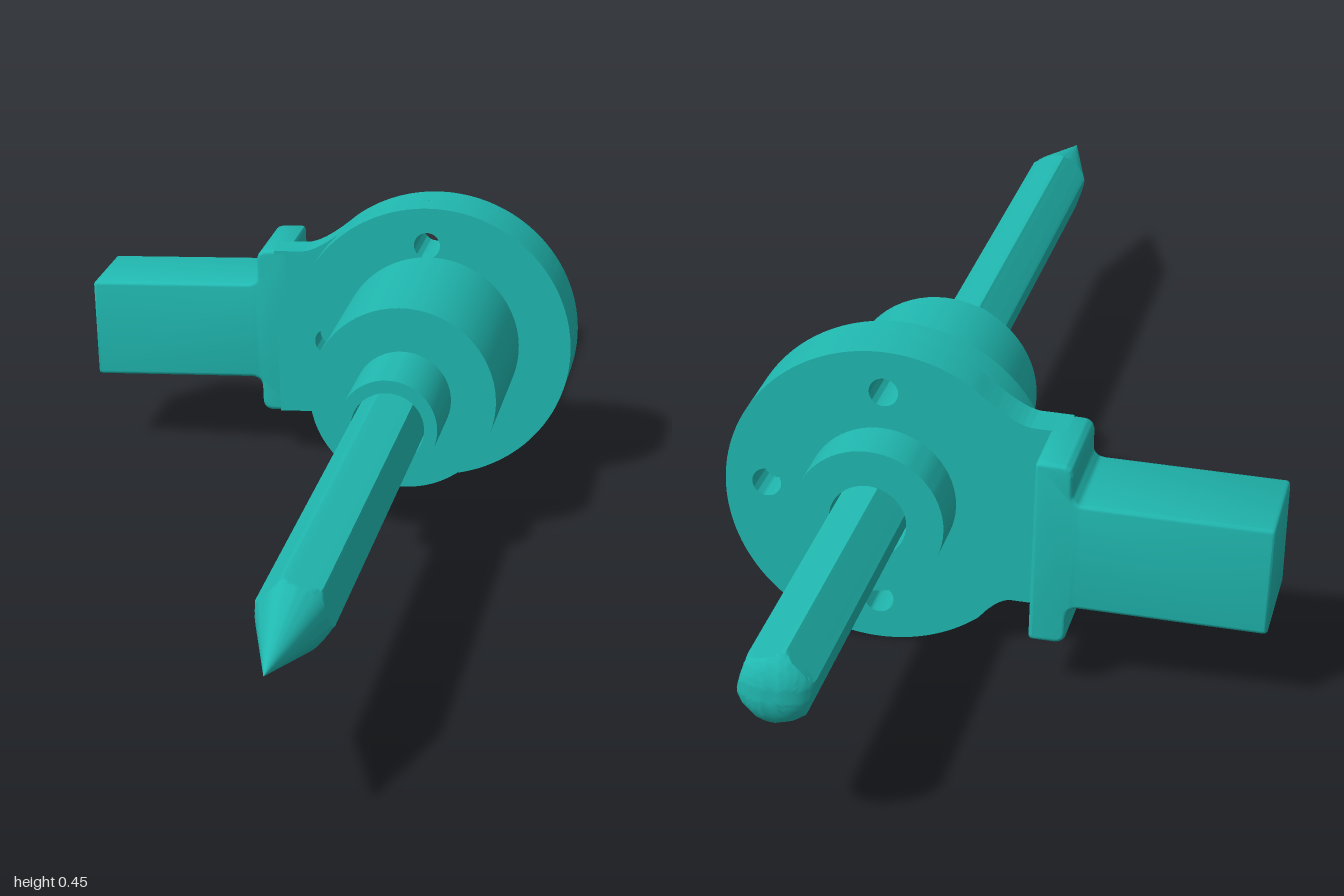
import * as THREE from 'three';
import { toCreasedNormals } from 'three/addons/utils/BufferGeometryUtils.js';

const rad = THREE.MathUtils.degToRad;
const RX = 0.2272, RY = 0.2243; // flange radii
const BORE = 0.0553;

export function createModel() {
  const group = new THREE.Group();
  const material = new THREE.MeshStandardMaterial({ color: 0x20b8b0 });

  // everything is laid out around the rod axis, then turned slightly
  const assembly = new THREE.Group();
  assembly.name = 'assembly';
  assembly.position.set(0.17, 0.2243, 0);
  assembly.rotation.z = rad(2.5);
  group.add(assembly);

  const add = (name, geometry, crease = 0.5) => {
    const mesh = new THREE.Mesh(toCreasedNormals(geometry, crease), material);
    mesh.name = name;
    assembly.add(mesh);
  };

  // extrude a shape between two z positions
  const slab = (shape, z0, z1, bevel = 0) =>
    new THREE.ExtrudeGeometry(shape, {
      depth: z1 - z0 - 2 * bevel, curveSegments: 48,
      bevelEnabled: bevel > 0, bevelThickness: bevel, bevelSize: bevel,
      bevelOffset: -bevel, bevelSegments: 3,
    }).translate(0, 0, z0 + bevel);

  // revolve [radius, z] points around the z axis
  const turned = (points, segments) =>
    new THREE.LatheGeometry(points.map(([r, z]) => new THREE.Vector2(r, z)), segments).rotateX(Math.PI / 2);

  const hole = (x, y, r) => new THREE.Path().absarc(x, y, r, 0, Math.PI * 2, true);

  // stepped sleeve with a through bore
  add('sleeve', turned([
    [BORE, -0.515], [0.108, -0.515], [0.108, -0.4], [0.144, -0.36], [0.144, -0.055],
    [0.075, -0.055], [0.075, 0.085], [BORE, 0.085], [BORE, -0.515],
  ], 64));

  // front flange disc, with pin holes at top, bottom and lever side
  const disc = new THREE.Shape().absellipse(0, 0, RX, RY, 0, Math.PI * 2);
  disc.holes.push(hole(0, 0, 0.09), hole(0, 0.163, 0.021), hole(0, -0.163, 0.021), hole(-0.167, 0, 0.021));
  add('flange', slab(disc, -0.38, -0.332));

  // lever plate behind the disc, its round end blending into the lever
  const plate = new THREE.Shape();
  plate.moveTo(-0.26, -0.137);
  plate.lineTo(-0.19, -0.137);
  plate.quadraticCurveTo(-0.17, -0.14, RX * Math.cos(rad(230)), RY * Math.sin(rad(230)));
  plate.absellipse(0, 0, RX, RY, rad(230), rad(485));
  plate.quadraticCurveTo(-0.187, 0.137, -0.215, 0.137);
  plate.lineTo(-0.26, 0.137);
  plate.closePath();
  plate.holes.push(hole(0, 0, 0.09), hole(0, 0.163, 0.021), hole(0, -0.163, 0.021), hole(0.167, 0, 0.021));
  add('leverPlate', slab(plate, -0.438, -0.38));

  // lever: tall shoulder and narrower handle, with rounded corners
  const half = [[-0.568, 0.08], [-0.29, 0.08], [-0.29, 0.137], [-0.237, 0.137]];
  const outline = [...half, ...half.map(([x, y]) => [x, -y]).reverse()].map((p) => new THREE.Vector2(...p));
  const lever = new THREE.Shape();
  outline.forEach((p, i) => {
    const previous = outline[(i + outline.length - 1) % outline.length];
    const next = outline[(i + 1) % outline.length];
    const r = i === 1 || i === 6 || i === 2 || i === 5 ? 0.018 : 0.007;
    const a = previous.clone().sub(p).setLength(r).add(p);
    const b = next.clone().sub(p).setLength(r).add(p);
    if (i === 0) lever.moveTo(a.x, a.y);
    else lever.lineTo(a.x, a.y);
    lever.quadraticCurveTo(p.x, p.y, b.x, b.y);
  });
  lever.closePath();
  const leverGeometry = new THREE.ExtrudeGeometry(lever, {
    depth: 0.148, curveSegments: 6, bevelThickness: 0.006, bevelSize: 0.006, bevelOffset: -0.006, bevelSegments: 3,
  }).translate(0, 0, -0.534);
  add('lever', leverGeometry, 0.7);

  // hexagonal rod: a turned profile (domed back, pointed front) cut to a hexagon
  const R = 0.0538, profile = [];
  for (let i = 0; i <= 10; i++) {
    const a = (i / 10) * Math.PI / 2;
    profile.push([R * Math.sin(a), -0.965 - 0.035 * Math.cos(a)]);
  }
  for (let i = 0; i <= 8; i++) profile.push([R * (1 - i * 0.0175), 0.8 + i * 0.0035]);
  profile.push([0, 1]);
  const rod = turned(profile, 48);
  const position = rod.attributes.position;
  for (let i = 0; i < position.count; i++) {
    const x = position.getX(i), y = position.getY(i), r = Math.hypot(x, y);
    if (r < 1e-6) continue;
    const sector = Math.PI / 3;
    const angle = ((Math.atan2(y, x) + 2 * Math.PI + 1e-6) % sector) - sector / 2;
    const k = Math.min(1, R * Math.cos(sector / 2) / Math.cos(angle) / r);
    position.setXY(i, x * k, y * k);
  }
  add('rod', rod.rotateZ(rad(-16.5)), 0.4);

  return group;
}
